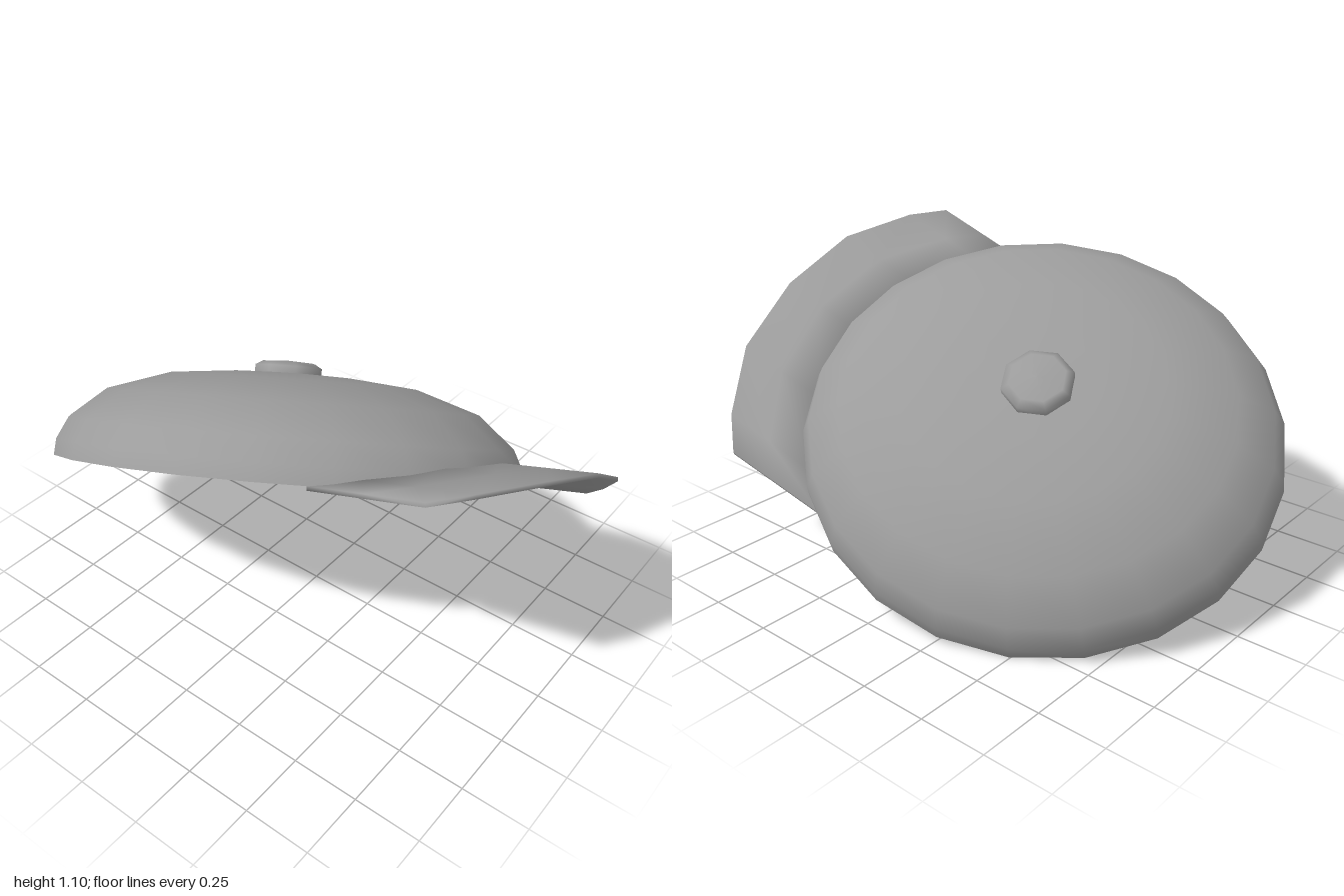
import * as THREE from 'three';
import { toCreasedNormals } from 'three/addons/utils/BufferGeometryUtils.js';

const SIDES = 22;

export function createModel() {
  const material = new THREE.MeshStandardMaterial({ color: 0x9c9c9c });
  const model = new THREE.Group();
  model.name = 'cap';

  // Local frame: x across the cap, y up through the button, z along the brim
  const cap = new THREE.Group();
  cap.name = 'tiltedCap';
  const across = new THREE.Vector3(0.856, -0.513, -0.005).normalize();
  const up = new THREE.Vector3(0.49, 0.82, -0.29);
  up.addScaledVector(across, -up.dot(across)).normalize();
  const forward = new THREE.Vector3().crossVectors(across, up);
  cap.quaternion.setFromRotationMatrix(new THREE.Matrix4().makeBasis(across, up, forward));
  cap.position.set(-0.01, 0.485, -0.16);
  model.add(cap);

  const add = (name, geometry) => {
    const mesh = new THREE.Mesh(geometry, material);
    mesh.name = name;
    cap.add(mesh);
    return mesh;
  };
  const lathe = (points, sides) =>
    new THREE.LatheGeometry(points.map(([r, y]) => new THREE.Vector2(r, y)), sides);

  // Crown: outer shell, lining and the flat rim joining them, slightly oval
  const outer = [[0.89, 0], [0.885, 0.06], [0.845, 0.14], [0.71, 0.252], [0.475, 0.328], [0.23, 0.352], [0, 0.36]];
  const inner = [[0, 0.32], [0.22, 0.312], [0.44, 0.288], [0.66, 0.215], [0.785, 0.12], [0.83, 0.06], [0.84, 0]];
  const rim = [inner[inner.length - 1], outer[0]];
  for (const [name, profile] of [['crown', outer], ['lining', inner], ['rim', rim]]) {
    const part = add(name, lathe(profile, SIDES));
    part.scale.x = 0.94;
    part.position.z = 0.025;
  }

  // Button on top
  add('button', lathe([[0.118, 0.33], [0.128, 0.345], [0.128, 0.382], [0.1, 0.398], [0, 0.404]], 8));

  add('brim', brimGeometry());
  return model;
}

// Brim: arched thin slab lofted from cross-sections running from side to side
function brimGeometry() {
  const half = [[0, 1.24], [0.32, 1.205], [0.575, 1.077], [0.69, 0.977]];
  const columns = [...half.slice(1).reverse().map(([x, z]) => [-x, z]), ...half];
  const thickness = 0.014;
  const loop = 6;
  const positions = [];
  const index = [];

  for (const [x, zOuter] of columns) {
    const y = 0.098 * (1 - (x / 0.69) ** 2);
    const xInner = x * 0.97;
    const zInner = Math.sqrt(0.84 ** 2 - xInner ** 2) + 0.03;
    const point = (t, drop) => positions.push(
      THREE.MathUtils.lerp(xInner, x - 0.053, t), y - drop, THREE.MathUtils.lerp(zInner, zOuter, t));
    for (const t of [0, 0.5, 1]) point(t, 0);
    for (const t of [1, 0.5, 0]) point(t, thickness);
  }

  for (let i = 0; i < columns.length - 1; i++) {
    for (let j = 0; j < loop; j++) {
      const a = i * loop + j;
      const b = i * loop + (j + 1) % loop;
      index.push(a, b, a + loop, b, b + loop, a + loop);
    }
  }
  // Side ends
  const last = (columns.length - 1) * loop;
  for (const [a, b, c, d] of [[0, 1, 4, 5], [1, 2, 3, 4]]) {
    index.push(last + a, last + b, last + c, last + a, last + c, last + d);
    index.push(a, c, b, a, d, c);
  }

  // Smooth right over the thin edges
  const geometry = new THREE.BufferGeometry();
  geometry.setAttribute('position', new THREE.Float32BufferAttribute(positions, 3));
  geometry.setIndex(index);
  return toCreasedNormals(geometry, Math.PI);
}
